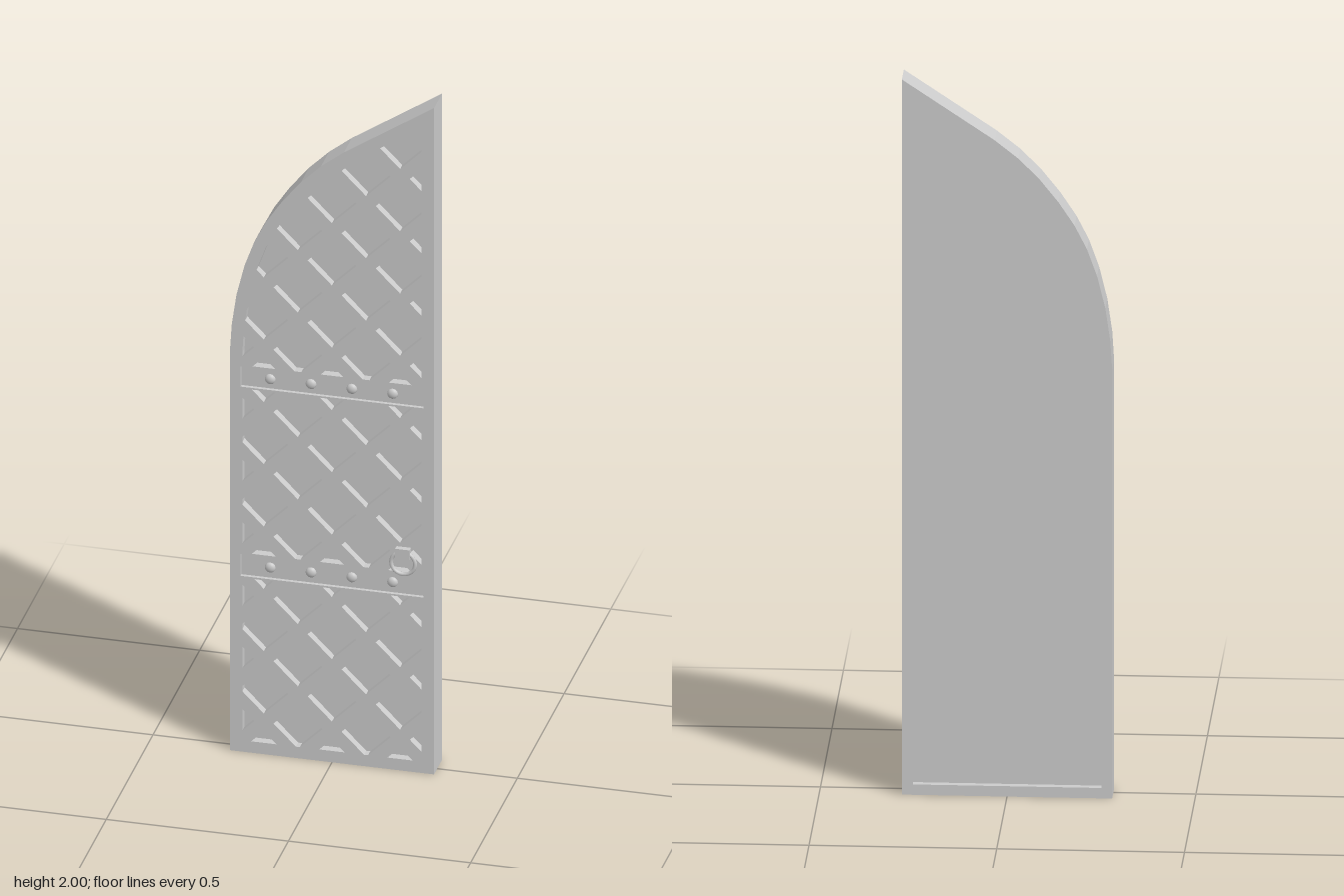
import * as THREE from 'three';

const grey = new THREE.MeshStandardMaterial({ color: 0xcccccc });
const BACK = -0.052, FRONT = 0.034, LATTICE_BACK = 0.01, PANEL_BACK = -0.032;

// Outline of the half-arch leaf, counter-clockwise seen from the front
const outline = [
  [-0.28, 0], [0.28, 0], [0.28, 2], [0.033, 1.835], [-0.03, 1.785], [-0.085, 1.73],
  [-0.137, 1.665], [-0.18, 1.6], [-0.213, 1.535], [-0.24, 1.46], [-0.262, 1.37],
  [-0.275, 1.28], [-0.28, 1.2],
].map(([x, y]) => new THREE.Vector2(x, y));

const cross = (a, b) => a.x * b.y - a.y * b.x;

// Moves every edge of a convex polygon inwards by d
function inset(poly, d) {
  const lines = poly.map((p, i) => {
    const dir = poly[(i + 1) % poly.length].clone().sub(p).normalize();
    return { p: new THREE.Vector2(p.x - dir.y * d, p.y + dir.x * d), dir };
  });
  return lines.map((b, i) => {
    const a = lines[(i + lines.length - 1) % lines.length];
    const t = cross(b.p.clone().sub(a.p), b.dir) / cross(a.dir, b.dir);
    return a.p.clone().addScaledVector(a.dir, t);
  });
}

// Keeps the part of a convex polygon that lies inside another
function clip(subject, clipper) {
  let out = subject;
  clipper.forEach((a, i) => {
    const edge = clipper[(i + 1) % clipper.length].clone().sub(a);
    const side = (p) => cross(edge, p.clone().sub(a));
    const next = [];
    out.forEach((p, j) => {
      const q = out[(j + 1) % out.length], sp = side(p), sq = side(q);
      if (sp >= 0) next.push(p);
      if ((sp >= 0) !== (sq >= 0)) next.push(p.clone().lerp(q, sp / (sp - sq)));
    });
    out = next;
  });
  return out;
}

const box = (x0, x1, y0, y1) =>
  [[x0, y0], [x1, y0], [x1, y1], [x0, y1]].map(([x, y]) => new THREE.Vector2(x, y));

function slab(name, poly, holes, z0, z1) {
  const shape = new THREE.Shape(poly);
  shape.holes = holes.map((h) => new THREE.Path(h));
  const geo = new THREE.ExtrudeGeometry(shape, { depth: z1 - z0, bevelEnabled: false });
  const mesh = new THREE.Mesh(geo.translate(0, 0, z0), grey);
  mesh.name = name;
  return mesh;
}

// Diamond openings on a staggered grid, trimmed to a section of the door
function diamonds(section) {
  const pitch = 0.187, r = 0.067, holes = [];
  const bounds = inset(section, 0.005);
  for (let row = 0; row <= 22; row++) {
    for (let col = -3; col <= 3; col++) {
      if ((row + col) % 2 !== 0) continue;
      const x = (col * pitch) / 2, y = 0.002 + (row * pitch) / 2;
      const diamond = [[r, 0], [0, r], [-r, 0], [0, -r]]
        .map(([dx, dy]) => new THREE.Vector2(x + dx, y + dy));
      const hole = clip(diamond, bounds);
      if (hole.length > 2 && THREE.ShapeUtils.area(hole) > 5e-5) holes.push(hole);
    }
  }
  return holes;
}

export function createModel() {
  const door = new THREE.Group();
  door.name = 'door';
  const inner = inset(outline, 0.029);

  // Outer frame and the panel set into it
  door.add(slab('frame', outline, [inner], BACK, FRONT));
  door.add(slab('panel', inner, [], PANEL_BACK, LATTICE_BACK));

  // Three lattice sections
  [[-1, 0.527], [0.592, 1.095], [1.155, 3]].forEach(([y0, y1]) => {
    const section = clip(inner, box(-1, 1, y0, y1));
    door.add(slab('lattice', section, diamonds(section), LATTICE_BACK, FRONT));
  });

  // Sunken bands between the sections, each with four domed rivets
  const rivetGeo = new THREE.SphereGeometry(0.015, 12, 5, 0, Math.PI * 2, 0, Math.PI / 2)
    .rotateX(Math.PI / 2).scale(1, 1, 0.65);
  [[0.527, 0.592], [1.095, 1.155]].forEach(([y0, y1]) => {
    door.add(slab('band', clip(inner, box(-1, 1, y0, y1)), [], LATTICE_BACK, FRONT - 0.01));
    for (let i = 0; i < 4; i++) {
      const rivet = new THREE.Mesh(rivetGeo, grey);
      rivet.name = 'rivet';
      rivet.position.set(-0.172 + i * 0.112, (y0 + y1) / 2 - 0.002, FRONT - 0.01);
      door.add(rivet);
    }
  });

  // Ring pull hanging from a small block
  const handle = new THREE.Group();
  handle.name = 'handle';
  const mount = new THREE.Mesh(new THREE.BoxGeometry(0.039, 0.03, 0.018), grey);
  mount.name = 'handleMount';
  mount.position.set(0.197, 0.657, 0.041);
  const ring = new THREE.Mesh(new THREE.TorusGeometry(0.033, 0.0055, 8, 24), grey);
  ring.name = 'handleRing';
  ring.position.set(0.197, 0.627, 0.041);
  handle.add(mount, ring);
  door.add(handle);

  return door;
}
